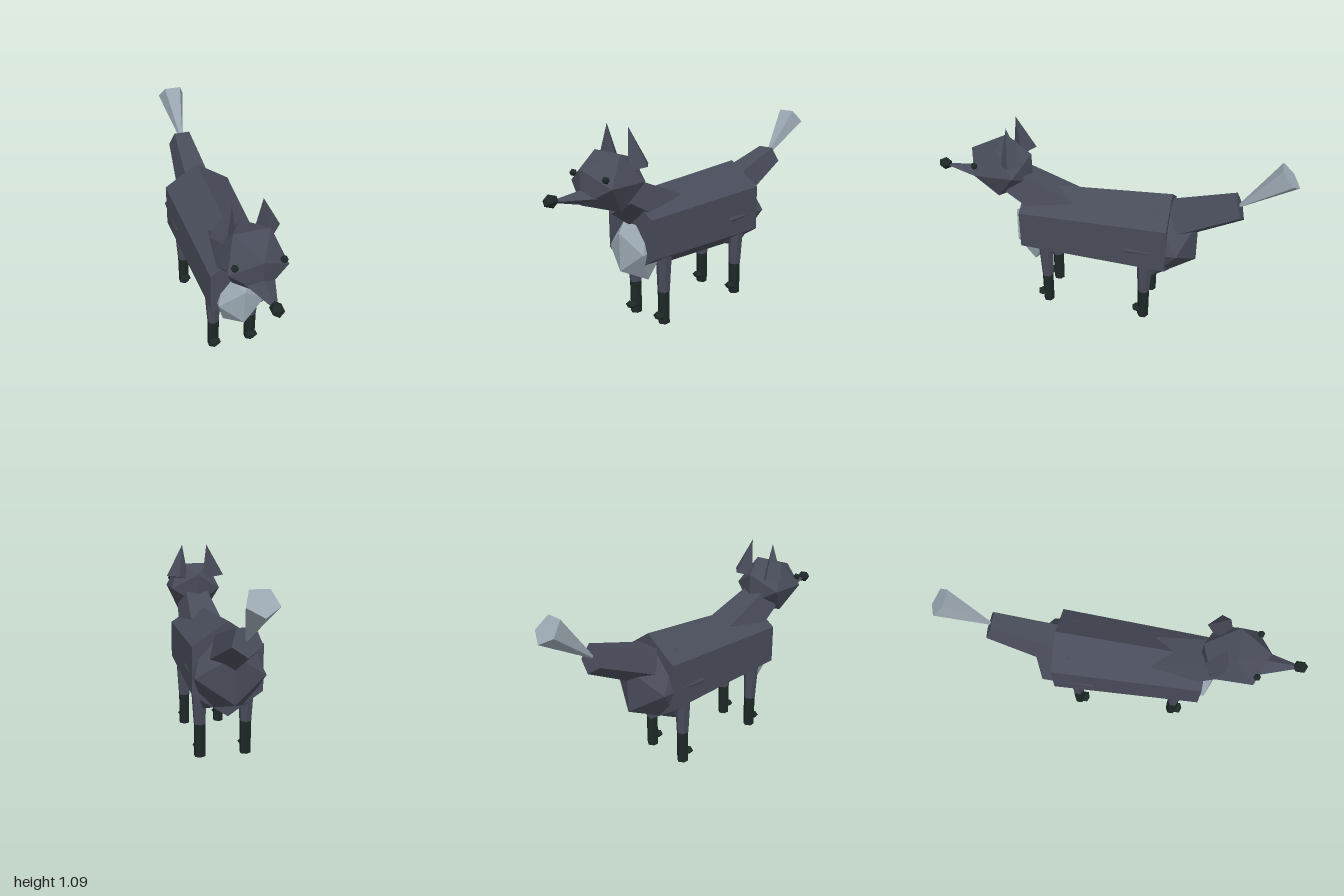
import * as THREE from 'three';

const paint = (name, color) => new THREE.MeshStandardMaterial({ name, color, flatShading: true });

export function createModel() {
  const fur = paint('slate fur', 0x484b59);
  const pale = paint('pale fur', 0x9aa7b1);
  const dark = paint('dark points', 0x1d2826);
  const model = new THREE.Group();
  model.name = 'fox';

  const add = (name, geometry, material) => {
    const mesh = new THREE.Mesh(geometry, material);
    mesh.name = name;
    model.add(mesh);
    return mesh;
  };

  // Faceted blob: a stretched icosahedron
  const blob = (name, material, position, radii) => {
    const geometry = new THREE.IcosahedronGeometry(1, 0).scale(...radii);
    add(name, geometry, material).position.set(...position);
  };

  // Tapered prism running from one point to another
  const limb = (name, material, from, to, r0, r1, sides, roll = 0, widen = 1) => {
    const a = new THREE.Vector3(...from), b = new THREE.Vector3(...to);
    const y = b.clone().sub(a);
    const length = y.length();
    y.normalize();
    const z = new THREE.Vector3(1, 0, 0).cross(y).normalize();
    const x = y.clone().cross(z);
    const geometry = new THREE.CylinderGeometry(r1, r0, length, sides, 1, false, roll);
    geometry.scale(widen, 1, 1);
    const mesh = add(name, geometry, material);
    mesh.quaternion.setFromRotationMatrix(new THREE.Matrix4().makeBasis(x, y, z));
    mesh.position.copy(a).add(b).multiplyScalar(0.5);
  };

  // Trunk
  limb('body', fur, [0, 0.51, 0.48], [0, 0.51, -0.35], 0.215, 0.255, 6, 0, 0.865);
  blob('haunches', fur, [0, 0.485, -0.265], [0.223, 0.24, 0.277]);
  blob('chest', pale, [0, 0.43, 0.43], [0.147, 0.195, 0.147]);
  limb('neck', fur, [0, 0.58, 0.25], [0, 0.745, 0.55], 0.15, 0.11, 5);

  // Head
  blob('head', fur, [0, 0.822, 0.615], [0.177, 0.17, 0.205]);
  limb('snout', fur, [0, 0.765, 0.70], [0, 0.788, 0.97], 0.052, 0.003, 4, 0, 1.7);
  blob('nose', dark, [0, 0.79, 0.963], [0.035, 0.035, 0.042]);

  // Tail with pale tip
  limb('tail', fur, [0, 0.61, -0.38], [0, 0.734, -0.713], 0.115, 0.08, 5, Math.PI);
  limb('tailTip', pale, [0, 0.735, -0.70], [0, 0.951, -0.945], 0.006, 0.082, 5, Math.PI);

  for (const side of [1, -1]) {
    const label = side > 0 ? 'left' : 'right';
    blob(label + 'Eye', dark, [side * 0.12, 0.865, 0.733], [0.02, 0.02, 0.02]);
    limb(label + 'Ear', fur, [side * 0.112, 0.89, 0.515], [side * 0.077, 1.09, 0.545], 0.068, 0, 4);

    // Legs, stockings and toes
    for (const [end, x, z] of [['Front', 0.108, 0.348], ['Back', 0.128, -0.23]]) {
      const name = label + end;
      limb(name + 'Leg', fur, [side * x, 0.185, z], [side * (x + 0.005), 0.41, z], 0.034, 0.044, 6);
      limb(name + 'Stocking', dark, [side * x, 0, z], [side * x, 0.187, z], 0.032, 0.033, 6);
      blob(name + 'Toe', dark, [side * x, 0.05, z + 0.035], [0.036, 0.021, 0.032]);
    }
  }
  return model;
}
